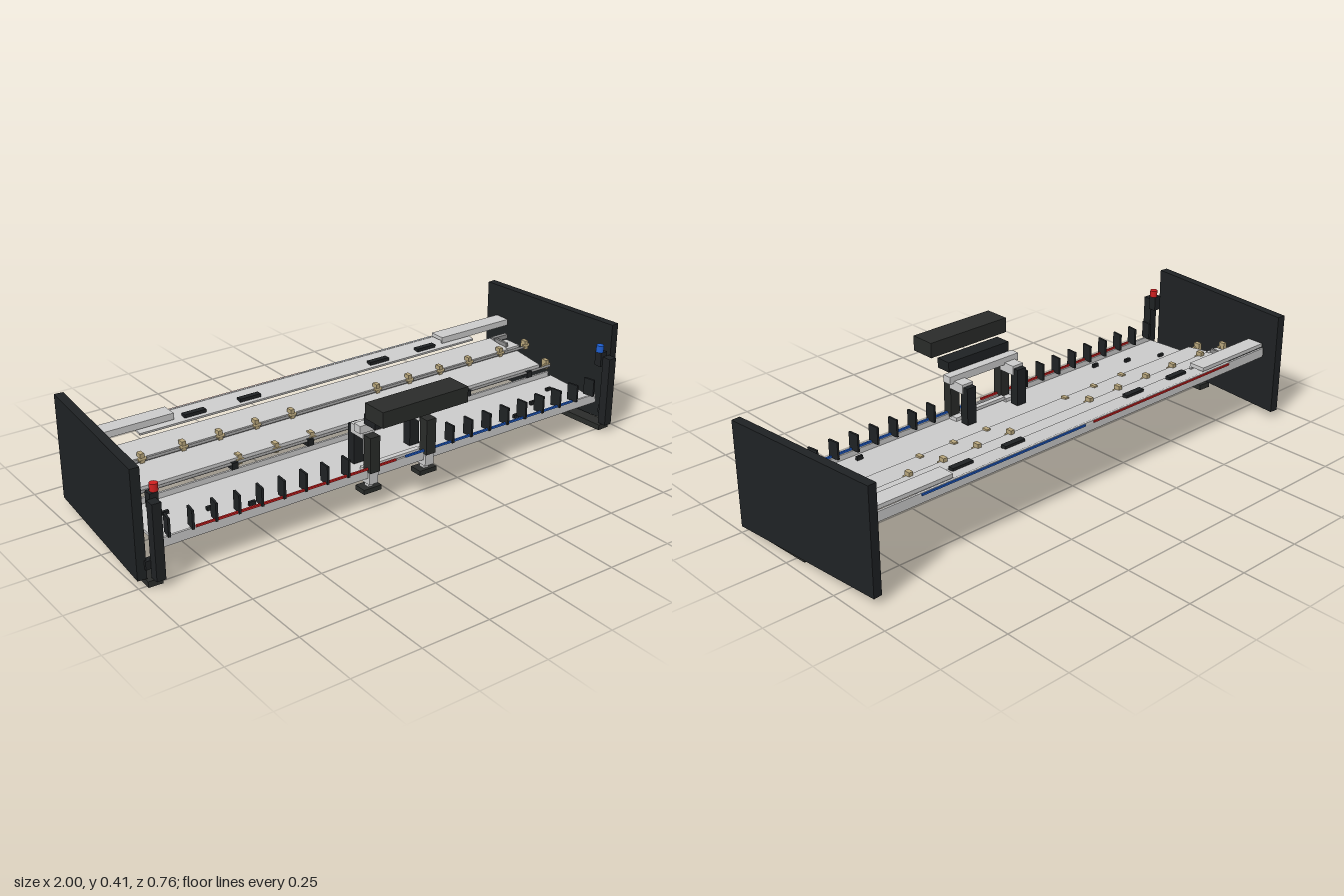
import * as THREE from 'three';

const mat = (color) => new THREE.MeshStandardMaterial({ color });
const grey = mat(0xcccccc), black = mat(0x1f2224), dark = mat(0x2a2c2a), gold = mat(0xb8a67c);
const red = mat(0xd02020), blue = mat(0x1f5fd0), steel = mat(0x8c8c8c);

export function createModel() {
  const model = new THREE.Group();

  const add = (name, geo, material, x, y, z, parent = model) => {
    const m = new THREE.Mesh(geo, material);
    m.name = name;
    m.position.set(x, y, z);
    parent.add(m);
    return m;
  };
  // box given by its ranges on x, y and z
  const box = (name, material, x0, x1, y0, y1, z0, z1, parent = model) =>
    add(name, new THREE.BoxGeometry(Math.abs(x1 - x0), y1 - y0, z1 - z0), material,
      (x0 + x1) / 2, (y0 + y1) / 2, (z0 + z1) / 2, parent);
  const rod = (name, material, r, len, x, y, z) => {
    const m = add(name, new THREE.CylinderGeometry(r, r, len, 12), material, x, y, z);
    m.rotation.z = Math.PI / 2;
    return m;
  };
  // thin plate whose section is sloped between two (z, y) points
  const slope = (name, halfWidth, z0, y0, z1, y1, t) => {
    const m = add(name, new THREE.BoxGeometry(2 * halfWidth, t, Math.hypot(z1 - z0, y1 - y0)), grey,
      0, (y0 + y1) / 2 - t / 2, (z0 + z1) / 2);
    m.rotation.x = Math.atan2(y0 - y1, z1 - z0);
    return m;
  };

  // stepped decks
  slope('frontDeck', 0.915, 0.0, 0.135, 0.245, 0.125, 0.01);
  box('frontDeckLip', grey, -0.91, 0.91, 0.112, 0.145, 0.238, 0.246);
  box('frontDeckRearLip', grey, -0.9, 0.9, 0.125, 0.155, -0.006, 0.002);
  slope('middleDeckFront', 0.86, -0.135, 0.205, -0.01, 0.19, 0.008);
  slope('middleDeckRear', 0.81, -0.24, 0.235, -0.135, 0.222, 0.008);
  box('middleDeckLip', grey, -0.86, 0.86, 0.172, 0.19, -0.014, -0.007);
  box('middleDeckRiser', grey, -0.86, 0.86, 0.197, 0.222, -0.142, -0.135);
  slope('rearDeck', 0.72, -0.322, 0.27, -0.235, 0.255, 0.008);
  box('rearDeckSkirt', grey, -0.91, 0.91, 0.235, 0.27, -0.322, -0.314);

  // rear deck end plates, side pieces, end brackets and rods
  rod('rearRod', steel, 0.005, 1.82, 0, 0.212, -0.133);
  rod('frontRod', steel, 0.005, 1.82, 0, 0.175, -0.002);
  for (const s of [-1, 1]) {
    box('rearEndPlate', grey, s * 0.58, s * 0.91, 0.272, 0.286, -0.315, -0.252);
    box('rearEndPlateLip', grey, s * 0.58, s * 0.91, 0.262, 0.274, -0.258, -0.252);
    box('middleDeckWing', grey, s * 0.81, s * 0.87, 0.215, 0.225, -0.21, -0.135);
    box('wingBracket', steel, s * 0.81, s * 0.88, 0.225, 0.242, -0.232, -0.215);
    box('wingBracket', steel, s * 0.815, s * 0.825, 0.222, 0.24, -0.215, -0.15);
  }

  // coloured strips on the front and rear edges
  [[red, -1], [blue, 1]].forEach(([m, s]) => {
    box('frontStrip', m, s * 0.02, s * 0.79, 0.145, 0.152, 0.244, 0.251);
    box('rearStrip', m, s * 0.02, s * 0.71, 0.262, 0.268, -0.327, -0.322);
  });

  // slots on the rear deck
  for (const x of [-0.5, -0.28, 0.28, 0.5])
    box('rearSlot', black, x - 0.042, x + 0.042, 0.258, 0.27, -0.268, -0.246);

  // gold guide clips on both rods
  const clip = (x, y, z) => {
    box('clip', gold, x - 0.008, x + 0.008, y - 0.015, y + 0.02, z - 0.012, z + 0.012);
    rod('clipPin', gold, 0.006, 0.03, x, y, z + 0.008);
  };
  for (const s of [-1, 1]) {
    for (const x of [0.185, 0.33, 0.475, 0.615, 0.77, 0.9]) clip(s * x, 0.218, -0.139);
    for (const x of [0.185, 0.33, 0.475, 0.9]) clip(s * x, 0.178, -0.018);
  }

  // arms below the middle deck, pads below the front deck, small deck studs
  for (const s of [-1, 1]) {
    for (const x of [0.2, 0.5, 0.8])
      box('supportArm', black, s * x - 0.012, s * x + 0.012, 0.155, 0.18, -0.14, 0.005);
    for (const x of [0.28, 0.48, 0.73])
      box('underPad', black, s * x - 0.05, s * x + 0.05, 0.092, 0.118, 0.08, 0.125);
    for (const [x, z] of [[0.815, 0.095], [0.685, 0.15], [0.56, 0.2]])
      box('deckStud', black, s * x - 0.012, s * x + 0.012, 0.128, 0.142, z - 0.005, z + 0.005);
  }

  // row of fins along the front edge
  for (const s of [-1, 1])
    for (let i = 0; i < 9; i++) {
      const fin = box('fin', black, -0.004, 0.004, 0.145, 0.21, 0.215, 0.258);
      fin.position.x = s * (0.22 + i * 0.083);
      fin.rotation.y = s * 0.02 * (i + 1);
    }

  // angled side panels with feet, front posts and buttons
  for (const s of [-1, 1]) {
    const side = new THREE.Group();
    side.name = s > 0 ? 'leftSide' : 'rightSide';
    model.add(side);
    const panel = box('sidePanel', black, -0.016, 0.016, 0.025, 0.405, -0.314, 0.314, side);
    panel.position.set(s * 0.957, 0.215, -0.065);
    panel.rotation.y = s * 0.087;
    const foot = box('foot', dark, -0.025, 0.025, 0, 0.021, -0.15, 0.15, side);
    foot.position.set(s * 0.94, 0.0105, 0.113);
    foot.rotation.y = s * 0.05;
    box('frontPost', black, s * 0.925, s * 0.957, 0.028, 0.293, 0.255, 0.29, side);
    box('postBracket', black, s * 0.915, s * 0.945, 0.255, 0.31, 0.225, 0.255, side);
    box('postTie', black, s * 0.94, s * 0.975, 0.06, 0.09, 0.235, 0.258, side);
    add('button', new THREE.CylinderGeometry(0.014, 0.014, 0.026, 20), s > 0 ? blue : red,
      s * 0.922, 0.323, 0.24, side);
  }

  // central gantry: posts, hooks, crossbar and two blocks
  const gantry = new THREE.Group();
  gantry.name = 'gantry';
  model.add(gantry);
  for (const s of [-1, 1]) {
    const x = s * 0.118;
    box('gantryPost', black, x - 0.02, x + 0.02, 0.135, 0.275, 0.135, 0.17, gantry);
    box('gantryCheek', grey, x - 0.024, x + 0.024, 0.25, 0.285, 0.155, 0.225, gantry);
    box('gantryFrontPost', dark, x - 0.02, x + 0.02, 0.135, 0.265, 0.225, 0.262, gantry);
    box('gantryClamp', grey, x - 0.018, x + 0.018, 0.09, 0.14, 0.2, 0.255, gantry);
    box('gantryFoot', dark, x - 0.036, x + 0.036, 0.057, 0.074, 0.2, 0.25, gantry);
    box('gantryFootStem', grey, x - 0.01, x + 0.01, 0.07, 0.095, 0.215, 0.238, gantry);
  }
  box('gantryCrossbar', grey, -0.16, 0.16, 0.277, 0.305, 0.2, 0.235, gantry);
  box('gantryLowerBar', grey, -0.1, 0.1, 0.135, 0.147, 0.205, 0.225, gantry);
  box('innerBlock', black, -0.14, 0.14, 0.308, 0.345, 0.23, 0.29, gantry);
  box('outerBlock', dark, -0.175, 0.175, 0.356, 0.412, 0.282, 0.378, gantry);

  return model;
}
